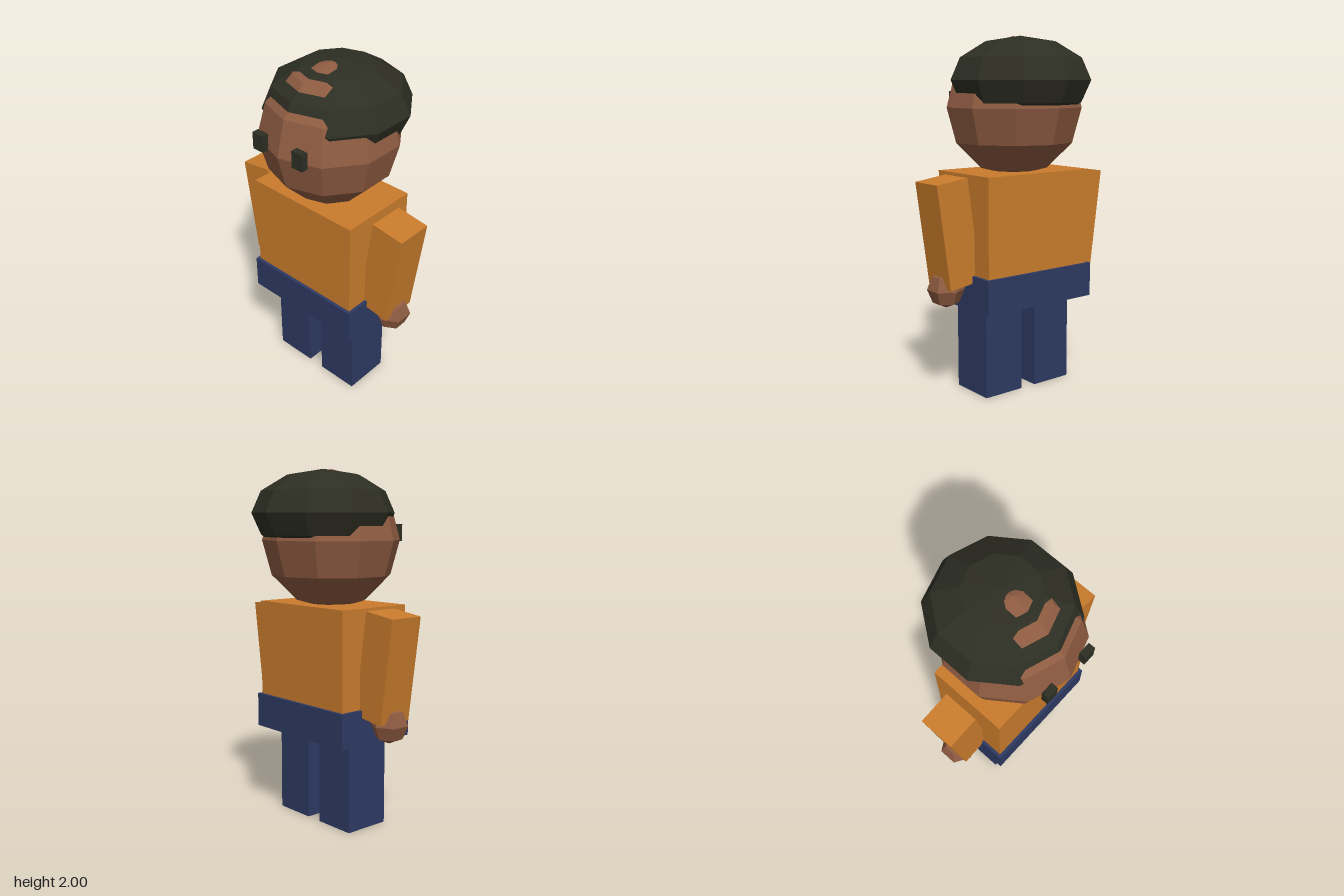
import * as THREE from 'three';

const material = (name, color) => {
  const m = new THREE.MeshStandardMaterial({ color, flatShading: true });
  m.name = name;
  return m;
};

export function createModel() {
  const skin = material('skin', 0x8e5b41);
  const hair = material('hair', 0x2d2e23);
  const shirt = material('shirt', 0xca7c2c);
  const trousers = material('trousers', 0x2d3a63);

  const model = new THREE.Group();
  model.name = 'figure';

  const add = (name, geometry, mat, x, y, z) => {
    const mesh = new THREE.Mesh(geometry, mat);
    mesh.name = name;
    mesh.position.set(x, y, z);
    model.add(mesh);
    return mesh;
  };
  const box = (w, h, d) => new THREE.BoxGeometry(w, h, d);
  // Low-poly ball with a corner facing the front
  const ball = (r, around, down) => {
    const g = new THREE.SphereGeometry(r, around, down);
    return g.rotateY(Math.PI / 2);
  };

  // Head, with a squashed ball of hair set slightly back on it
  add('head', ball(0.39, 10, 6), skin, 0, 1.61, 0.034);
  const cap = ball(0.4, 10, 6).scale(1, 0.6, 1);
  add('hair', cap, hair, 0, 1.759, -0.025);

  // Trunk
  add('torso', box(0.706, 0.555, 0.47), shirt, 0, 0.978, 0.035);
  add('hips', box(0.74, 0.195, 0.507), trousers, 0, 0.608, 0.035);

  // Paired parts
  for (const [side, s] of [['left', 1], ['right', -1]]) {
    add(side + 'Eye', box(0.07, 0.095, 0.04), hair, s * 0.138, 1.648, 0.406);

    const sleeve = add(side + 'Sleeve', box(0.195, 0.58, 0.212), shirt, s * 0.453, 0.945, 0.034);
    sleeve.rotation.z = -s * 0.135;

    add(side + 'Hand', ball(0.104, 6, 4), skin, s * 0.47, 0.63, 0.036);
    add(side + 'Leg', box(0.25, 0.52, 0.274), trousers, s * 0.174, 0.26, 0.037);
  }

  return model;
}
